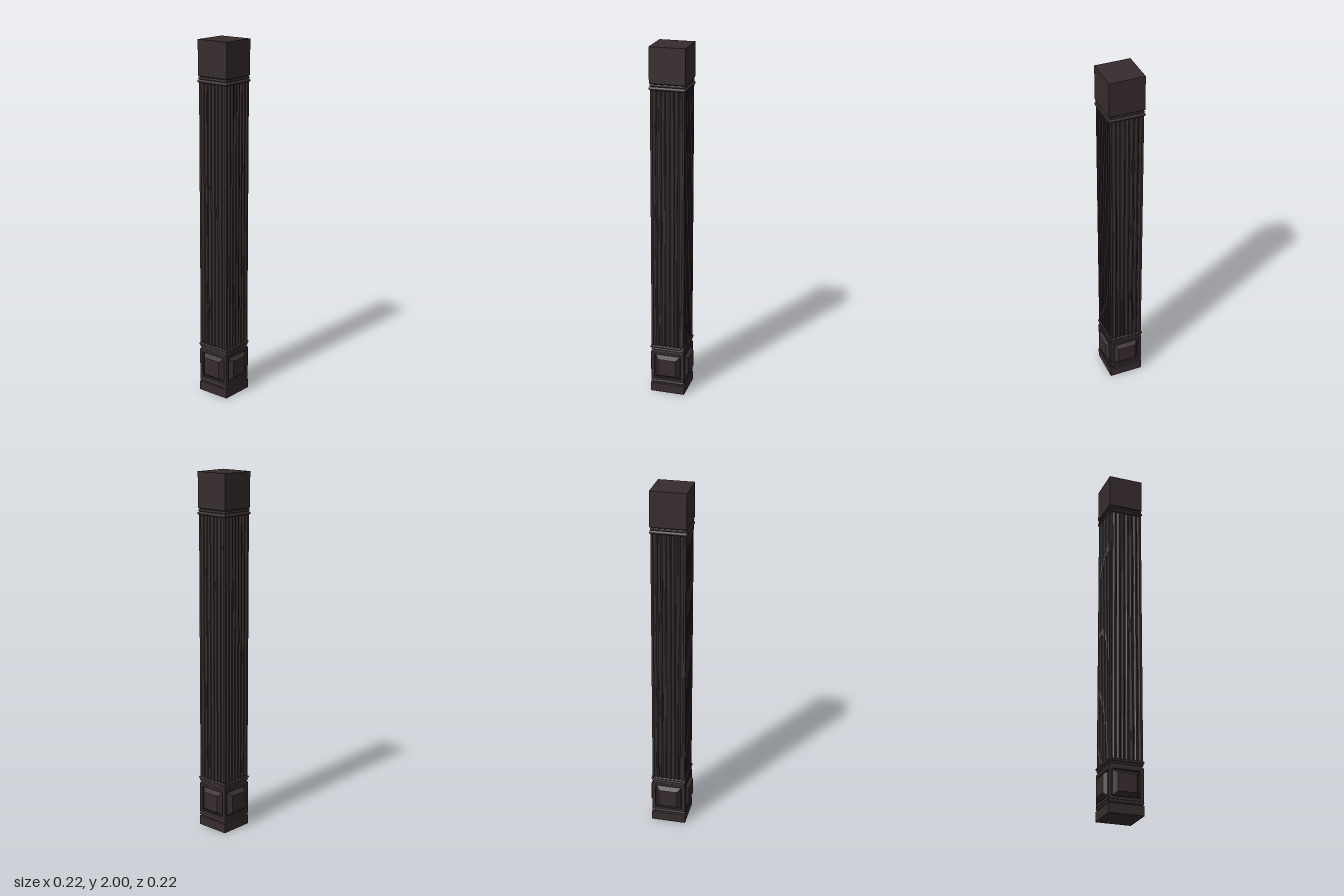
import * as THREE from 'three';
import { toCreasedNormals } from 'three/addons/utils/BufferGeometryUtils.js';

const wood = new THREE.MeshStandardMaterial({ color: 0x372c2e });
wood.name = 'darkWood';

function part(name, geometry) {
  const mesh = new THREE.Mesh(toCreasedNormals(geometry, 0.7), wood);
  mesh.name = name;
  return mesh;
}

// Square solid turned from a profile of [half width, height], bottom to top
function squareStack(name, profile) {
  const points = profile.map(([w, y]) => new THREE.Vector2(w * Math.SQRT2, y));
  points.unshift(new THREE.Vector2(0, profile[0][1]));
  points.push(new THREE.Vector2(0, profile[profile.length - 1][1]));
  return part(name, new THREE.LatheGeometry(points, 4, Math.PI / 4));
}

// Half-round moulding as profile points
function bead(y0, y1, inner, outer, steps = 6) {
  return Array.from({ length: steps + 1 }, (_, i) => {
    const a = (i / steps) * Math.PI;
    return [inner + (outer - inner) * Math.sin(a), y0 + (y1 - y0) * (1 - Math.cos(a)) / 2];
  });
}

function rectangle(target, w, h) {
  target.moveTo(-w, -h);
  target.lineTo(w, -h);
  target.lineTo(w, h);
  target.lineTo(-w, h);
  target.closePath();
  return target;
}

// Square shaft with round flutes cut into each side
function flutedShaft(y0, y1) {
  const half = 0.094, flutes = 7, pitch = 0.0245, radius = 0.0085, steps = 6;
  const points = [];
  for (let side = 0; side < 4; side++) {
    const turn = side * Math.PI / 2;
    const add = (x, y) => points.push(new THREE.Vector2(x, y).rotateAround(new THREE.Vector2(), turn));
    add(-half, -half);
    for (let i = 0; i < flutes; i++) {
      const centre = (i - (flutes - 1) / 2) * pitch;
      for (let s = 0; s <= steps; s++) {
        const a = Math.PI * (1 - s / steps);
        add(centre + radius * Math.cos(a), -half + radius * Math.sin(a));
      }
    }
  }
  const geometry = new THREE.ExtrudeGeometry(new THREE.Shape(points), { depth: y1 - y0, bevelEnabled: false });
  geometry.rotateX(-Math.PI / 2).translate(0, y0, 0);
  return part('flutedShaft', geometry);
}

// Frame with a raised, bevelled panel, facing +z
function pedestalFace() {
  const group = new THREE.Group();
  group.name = 'pedestalFace';
  const shape = rectangle(new THREE.Shape(), 0.0965, 0.089);
  shape.holes.push(rectangle(new THREE.Path(), 0.078, 0.073));
  const frame = new THREE.ExtrudeGeometry(shape, { depth: 0.012, bevelEnabled: false });
  frame.translate(0, 0.163, 0.0845);

  const panel = new THREE.BoxGeometry(0.144, 0.136, 0.027);
  const position = panel.attributes.position;
  for (let i = 0; i < position.count; i++) {
    if (position.getZ(i) > 0) {
      position.setX(i, Math.sign(position.getX(i)) * 0.052);
      position.setY(i, Math.sign(position.getY(i)) * 0.050);
    }
  }
  panel.translate(0, 0.163, 0.0985);
  group.add(part('panelFrame', frame), part('raisedPanel', panel));
  return group;
}

export function createModel() {
  const column = new THREE.Group();
  column.name = 'column';

  // Plinth, pedestal core and mouldings
  column.add(
    squareStack('plinth', [[0.098, 0], [0.098, 0.052], [0.092, 0.056]]),
    squareStack('plinthMoulding', bead(0.056, 0.075, 0.09, 0.097)),
    squareStack('pedestalCore', [[0.086, 0.07], [0.086, 0.256]]),
    squareStack('pedestalMoulding', [
      [0.094, 0.252], [0.091, 0.262], ...bead(0.264, 0.276, 0.091, 0.096), ...bead(0.276, 0.292, 0.092, 0.1),
    ]),
  );

  // Four matching panelled faces
  for (let i = 0; i < 4; i++) {
    const face = pedestalFace();
    face.rotation.y = i * Math.PI / 2;
    column.add(face);
  }

  // Shaft, neck moulding and capital block
  column.add(
    flutedShaft(0.285, 1.78),
    squareStack('neckMoulding', [
      ...bead(1.77, 1.789, 0.092, 0.1), ...bead(1.789, 1.802, 0.092, 0.096), [0.092, 1.81],
    ]),
    squareStack('capitalBlock', [[0.092, 1.803], [0.098, 1.808], [0.098, 2]]),
  );
  return column;
}
